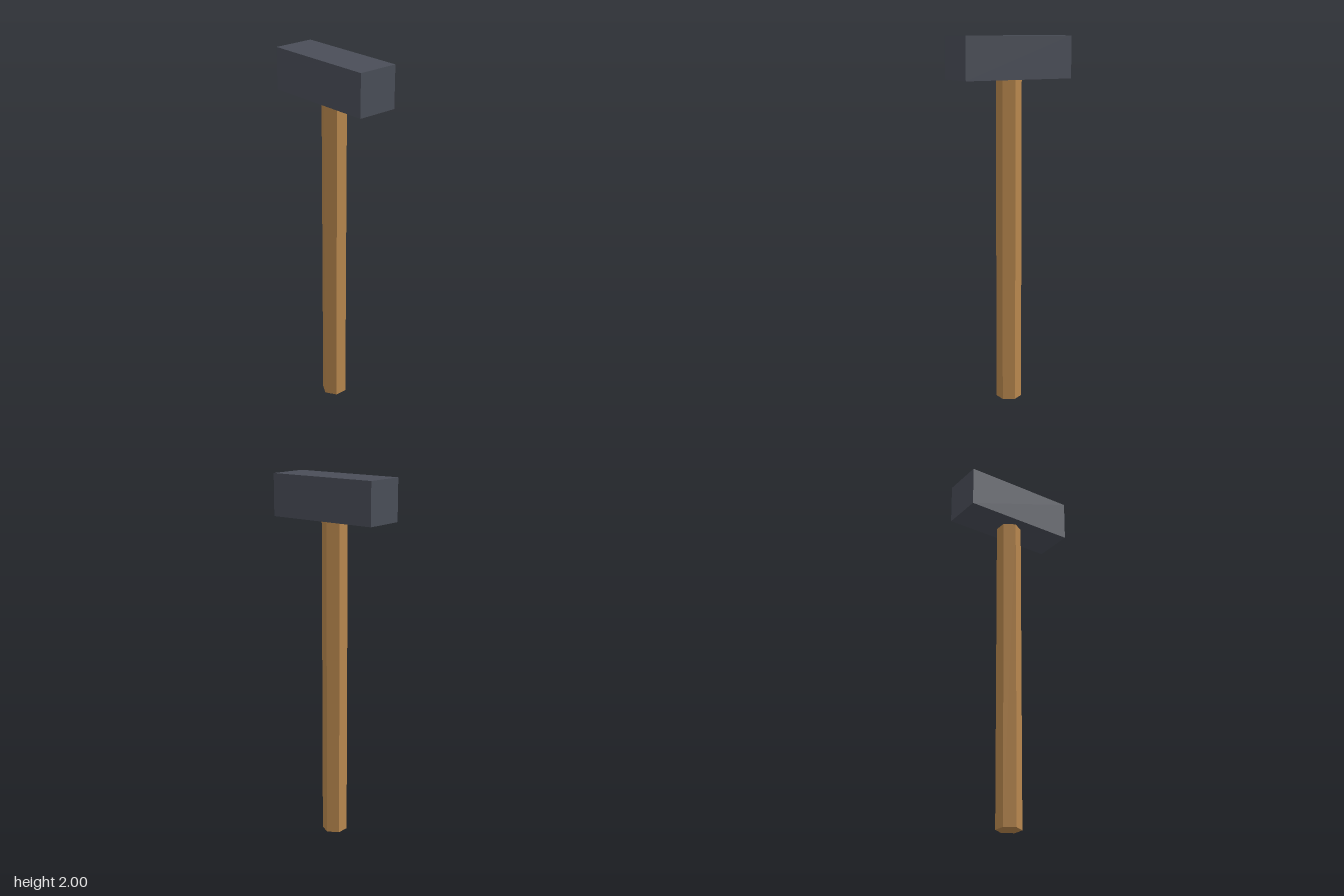
import * as THREE from 'three';

export function createModel() {
  const steel = new THREE.MeshStandardMaterial({ color: 0x4a4e58, flatShading: true });
  steel.name = 'dark steel';
  const wood = new THREE.MeshStandardMaterial({ color: 0xb8874e, flatShading: true });
  wood.name = 'wood';

  const group = new THREE.Group();
  group.name = 'hammer';

  const height = 2, headHeight = 0.228;
  const handleHeight = height - headHeight;

  // Six-sided handle, one edge facing the front
  const handle = new THREE.Mesh(new THREE.CylinderGeometry(0.069, 0.069, handleHeight, 6), wood);
  handle.name = 'handle';
  handle.position.y = handleHeight / 2;

  // Block head resting on the handle
  const head = new THREE.Mesh(new THREE.BoxGeometry(0.644, headHeight, 0.23), steel);
  head.name = 'head';
  head.position.y = height - headHeight / 2;

  group.add(handle, head);
  return group;
}
